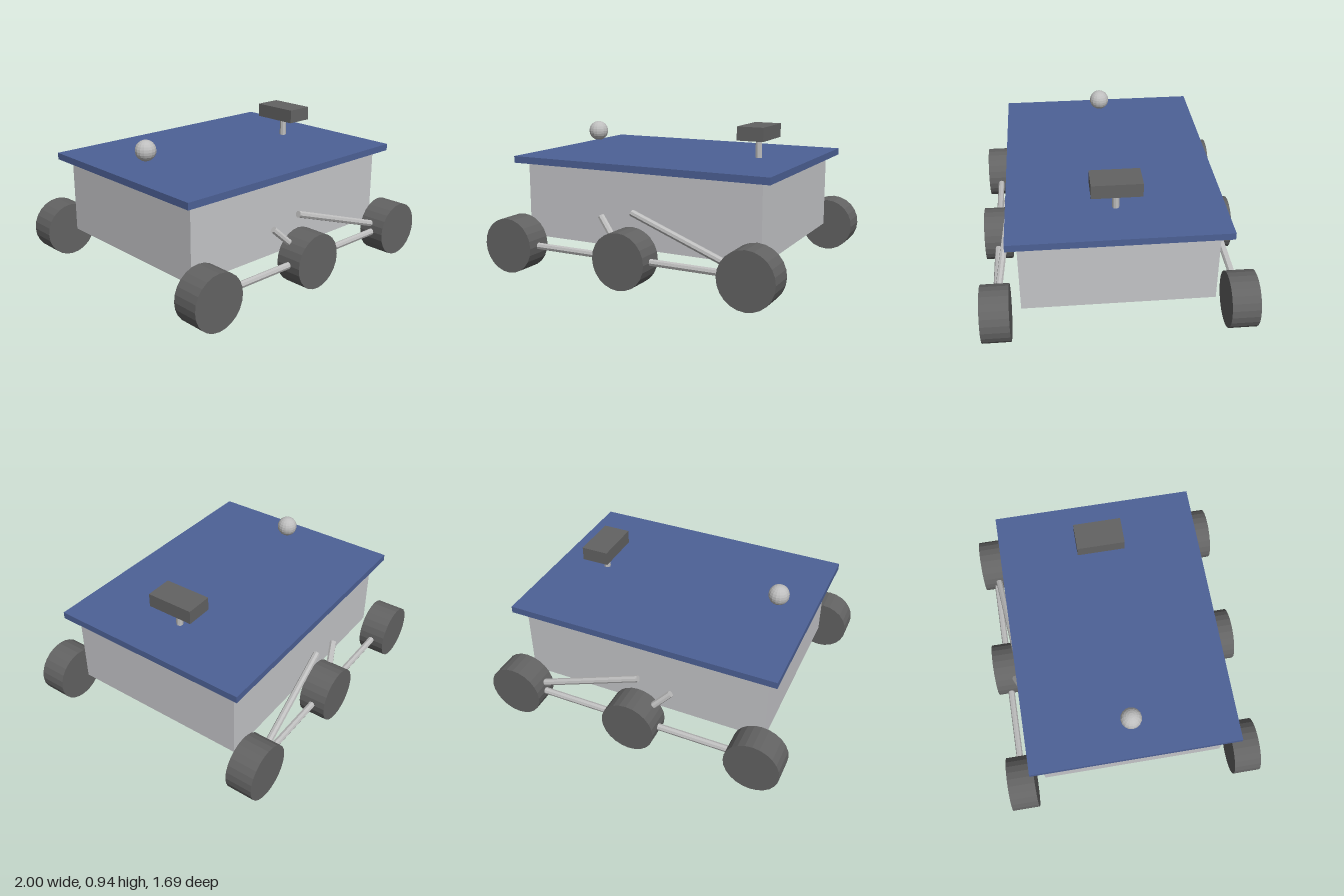
import * as THREE from 'three';

const flat = (name, color) => {
  const m = new THREE.MeshStandardMaterial({ color });
  m.name = name;
  return m;
};

export function createModel() {
  const rover = new THREE.Group();
  rover.name = 'rover';

  const bodyGrey = flat('body grey', 0xc4c5c8);
  const panelBlue = flat('panel blue', 0x4d6196);
  const darkGrey = flat('dark grey', 0x636363);
  const metal = flat('metal', 0xbebebe);

  const add = (name, geometry, material, x, y, z) => {
    const mesh = new THREE.Mesh(geometry, material);
    mesh.name = name;
    mesh.position.set(x, y, z);
    rover.add(mesh);
    return mesh;
  };

  // Round bar between two points
  const addRod = (name, from, to) => {
    const a = new THREE.Vector3(...from);
    const b = new THREE.Vector3(...to);
    const dir = b.clone().sub(a);
    const mid = a.clone().add(b).multiplyScalar(0.5);
    const geometry = new THREE.CylinderGeometry(0.022, 0.022, dir.length(), 8).toNonIndexed();
    geometry.computeVertexNormals();
    const rod = add(name, geometry, metal, mid.x, mid.y, mid.z);
    rod.quaternion.setFromUnitVectors(new THREE.Vector3(0, 1, 0), dir.normalize());
  };

  // Hull and solar deck
  add('body', new THREE.BoxGeometry(1.64, 0.489, 1.2), bodyGrey, 0, 0.444, 0);
  add('solarDeck', new THREE.BoxGeometry(1.778, 0.044, 1.333), panelBlue, 0, 0.711, 0);

  // Camera mast and head
  addRod('mast', [0.555, 0.73, 0], [0.555, 0.87, 0]);
  add('cameraHead', new THREE.BoxGeometry(0.178, 0.089, 0.311), darkGrey, 0.555, 0.9, 0);

  // Ball antenna hovering over the deck
  const ball = new THREE.SphereGeometry(0.067, 16, 12).toNonIndexed();
  ball.computeVertexNormals();
  add('antennaBall', ball, metal, -0.667, 0.845, 0);

  // Wheels and suspension, mirrored to both sides
  const wheel = new THREE.CylinderGeometry(0.178, 0.178, 0.178, 24).toNonIndexed();
  wheel.rotateX(Math.PI / 2);
  wheel.computeVertexNormals();
  for (const side of [1, -1]) {
    const z = side * 0.755;
    const hullZ = side * 0.667;
    for (const x of [-0.822, 0, 0.822]) add('wheel', wheel, darkGrey, x, 0.178, z);
    addRod('bogieBar', [-0.822, 0.178, z], [0.822, 0.178, z]);
    addRod('rockerArm', [0, 0.444, hullZ], [0.822, 0.178, z]);
    addRod('shortStrut', [-0.222, 0.4, hullZ], [0, 0.178, z]);
  }

  return rover;
}
